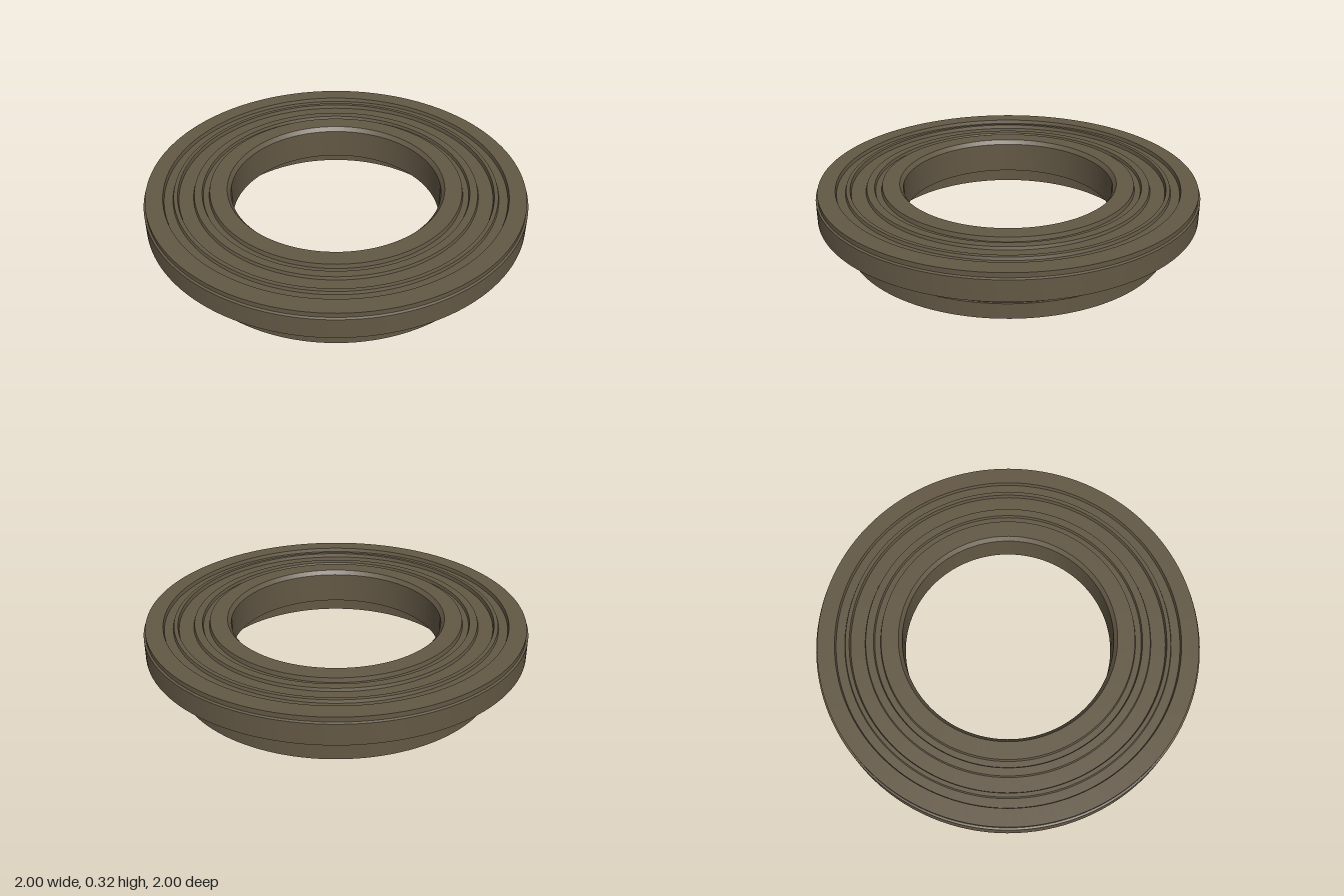
import * as THREE from 'three';
import { toCreasedNormals } from 'three/addons/utils/BufferGeometryUtils.js';

const SEGMENTS = 128;

// Each part is a run of the ring's closed [radius, height] section,
// traced counter-clockwise: up the outside, in over the top, down the bore.
const SECTIONS = {
  steppedHub: [
    [0.70, 0], [0.855, 0], [0.855, 0.08], [0.845, 0.08], [0.845, 0.145],
  ],
  outerFlange: [
    [0.845, 0.145], [0.933, 0.145], [0.933, 0.18], [1, 0.18],
    [1, 0.29], [0.99, 0.295], [0.99, 0.32], [0.90, 0.32],
  ],
  groovedFace: [
    [0.90, 0.32], [0.895, 0.3], [0.85, 0.3], [0.845, 0.315], [0.825, 0.315],
    [0.82, 0.295], [0.745, 0.295], [0.74, 0.31], [0.70, 0.31],
    [0.695, 0.295], [0.665, 0.295], [0.66, 0.317],
  ],
  innerRim: [[0.66, 0.317], [0.57, 0.317], [0.552, 0.295]],
  steppedBore: [
    [0.552, 0.295], [0.552, 0.13], [0.64, 0.13], [0.64, 0.107],
    [0.70, 0.107], [0.70, 0],
  ],
};

export function createModel() {
  const group = new THREE.Group();
  group.name = 'steppedRing';

  const bronze = new THREE.MeshStandardMaterial({ color: 0x635845 });
  bronze.name = 'dark bronze';

  // Turn every section around the vertical axis, keeping its edges sharp
  for (const [name, section] of Object.entries(SECTIONS)) {
    const points = section.map(([r, y]) => new THREE.Vector2(r, y));
    const lathe = new THREE.LatheGeometry(points, SEGMENTS);
    const mesh = new THREE.Mesh(toCreasedNormals(lathe, Math.PI / 7), bronze);
    mesh.name = name;
    group.add(mesh);
  }
  return group;
}
